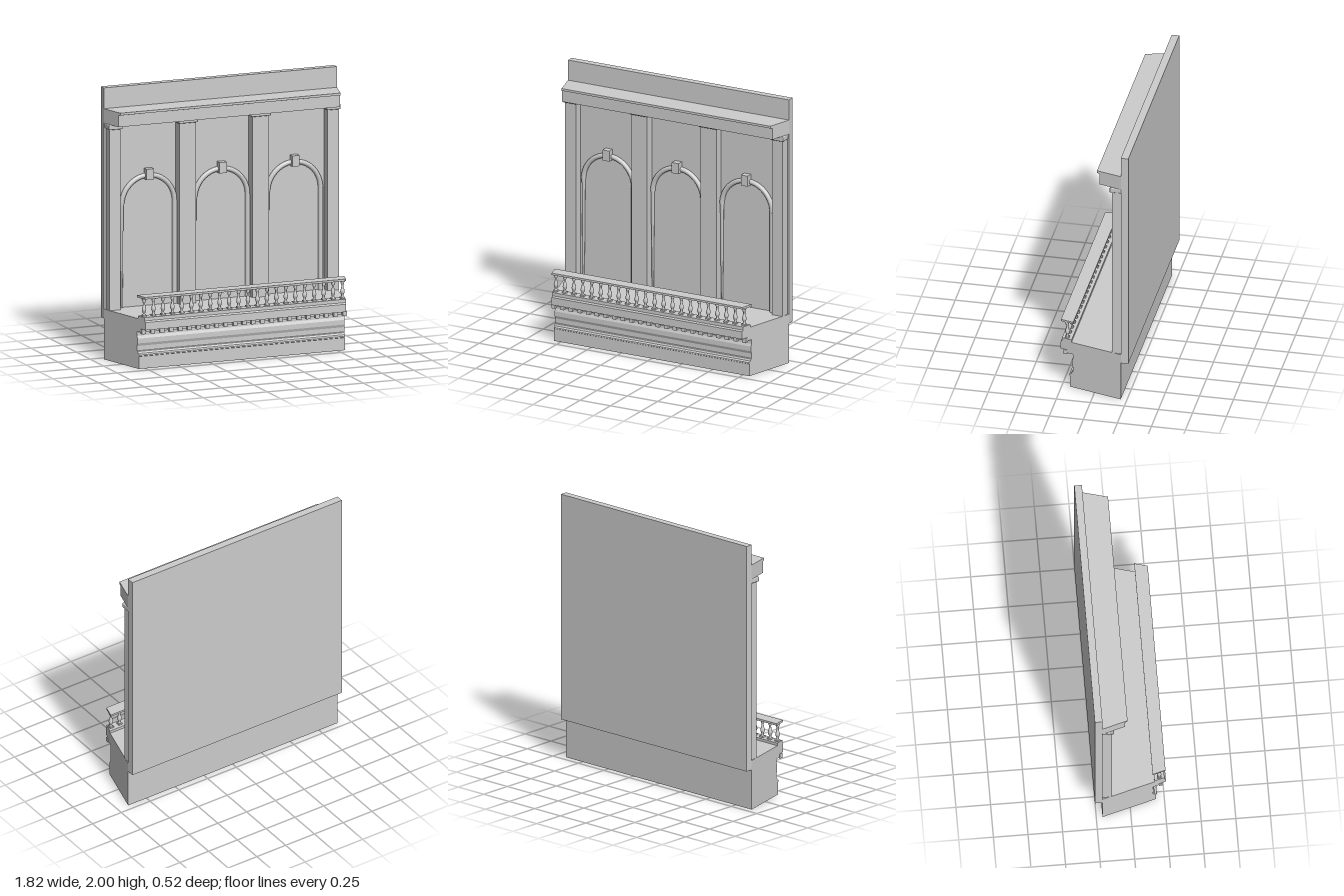
import * as THREE from 'three';
import { RoundedBoxGeometry } from 'three/addons/geometries/RoundedBoxGeometry.js';

const BACK = -0.205; // plane of the wall's front face
const halfWidth = z => 0.91 - 0.269 * (z - BACK); // mitred ends taper toward the front

export function createModel() {
  const model = new THREE.Group();
  const stone = new THREE.MeshStandardMaterial({ color: 0xcccccc });
  stone.name = 'stone';

  const add = (name, geometry, x = 0, y = 0, z = 0) => {
    const mesh = new THREE.Mesh(geometry, stone);
    mesh.name = name;
    mesh.position.set(x, y, z);
    model.add(mesh);
    return mesh;
  };
  const block = (name, x0, x1, y0, y1, z0, z1) => add(name,
    new THREE.BoxGeometry(x1 - x0, y1 - y0, z1 - z0), (x0 + x1) / 2, (y0 + y1) / 2, (z0 + z1) / 2);

  // Runs a (z, y) moulding profile across the facade with splayed ends
  const moulding = (name, points) => {
    const shape = new THREE.Shape(points.map(p => new THREE.Vector2(...p)));
    const geometry = new THREE.ExtrudeGeometry(shape, { depth: 2, bevelEnabled: false });
    geometry.rotateY(-Math.PI / 2).translate(1, 0, 0);
    const pos = geometry.attributes.position;
    for (let i = 0; i < pos.count; i++) {
      pos.setX(i, Math.sign(pos.getX(i)) * halfWidth(pos.getZ(i)));
    }
    geometry.computeVertexNormals();
    return add(name, geometry);
  };

  // Wall, plinth, cornice and hand rail
  block('wall', -0.91, 0.91, 0.3, 2, -0.26, BACK);
  moulding('plinth', [
    [BACK, 0], [0.19, 0], [0.19, 0.092], [0.197, 0.096], [0.195, 0.104], [0.18, 0.112], [0.174, 0.126],
    [0.167, 0.13], [0.167, 0.165], [0.175, 0.185], [0.175, 0.22], [0.167, 0.24], [0.167, 0.273],
    [0.215, 0.273], [0.215, 0.298], [0.262, 0.298], [0.262, 0.355], [0.252, 0.365], [0.252, 0.39],
    [0.178, 0.39], [0.178, 0.37], [BACK, 0.37],
  ]);
  moulding('cornice', [
    [BACK, 1.74], [-0.04, 1.74], [-0.04, 1.825], [-0.02, 1.83], [-0.02, 1.847], [BACK, 1.847],
  ]);
  moulding('handRail', [[0.165, 0.525], [0.26, 0.525], [0.26, 0.54], [0.165, 0.54]]);

  // Dentils below the plinth ledge
  for (let i = 0; i < 23; i++) {
    const x = -0.785 + i * 1.57 / 22;
    block('dentil', x - 0.016, x + 0.016, 0.264, 0.299, 0.212, 0.238);
  }

  // Balusters
  const balusterProfile = new THREE.SplineCurve([
    [0.013, 0.01], [0.009, 0.018], [0.01, 0.03], [0.016, 0.045], [0.015, 0.06],
    [0.009, 0.082], [0.008, 0.1], [0.013, 0.112], [0.012, 0.125],
  ].map(p => new THREE.Vector2(...p))).getPoints(20);
  const balusterGeometry = new THREE.LatheGeometry(balusterProfile, 14);
  for (let i = 0; i < 22; i++) {
    const x = -0.775 + i * 1.55 / 21;
    add('baluster', balusterGeometry, x, 0.39, 0.215);
    block('balusterFoot', x - 0.015, x + 0.015, 0.388, 0.401, 0.2, 0.23);
    block('balusterCap', x - 0.013, x + 0.013, 0.513, 0.526, 0.202, 0.228);
  }

  // Pilasters with rounded capitals
  for (const side of [-1, 1]) {
    for (const [centre, width] of [[0.285, 0.13], [0.852, 0.088]]) {
      const x = side * centre;
      block('pilaster', x - width / 2, x + width / 2, 0.37, 1.71, BACK, -0.137);
      add('capital', new RoundedBoxGeometry(width + 0.02, 0.038, 0.085, 2, 0.007), x, 1.722, -0.1635);
    }
  }

  // Arch surrounds with keystones
  const springY = 1.125, radius = 0.206, tube = 0.018;
  const archGeometry = new THREE.TorusGeometry(radius, tube, 14, 40, Math.PI);
  const legGeometry = new THREE.CylinderGeometry(tube, tube, springY - 0.37, 14);
  const thinLegGeometry = new THREE.CylinderGeometry(0.014, 0.007, springY - 0.37, 8);
  for (const x of [-0.57, 0, 0.57]) {
    const legY = (springY + 0.37) / 2;
    add('arch', archGeometry, x, springY, -0.195);
    add('archLeg', legGeometry, x + radius, legY, -0.195);
    add('thinArchLeg', thinLegGeometry, x - radius, legY, -0.195);
    block('keystone', x - 0.028, x + 0.028, 1.303, 1.383, BACK, -0.155);
  }

  return model;
}
